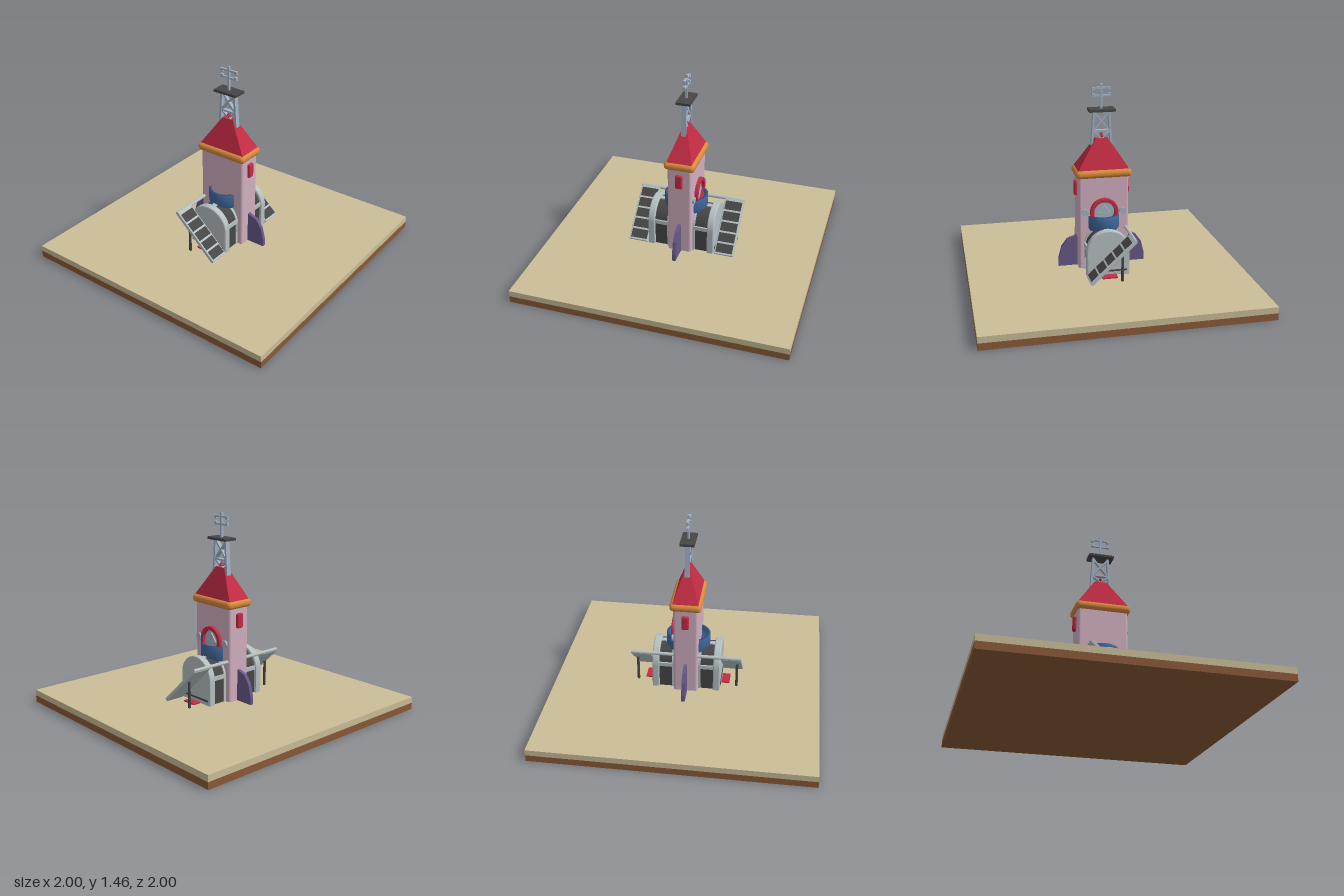
import * as THREE from 'three';
import { RoundedBoxGeometry } from 'three/addons/geometries/RoundedBoxGeometry.js';

const mat = (name, color) => {
  const m = new THREE.MeshStandardMaterial({ color });
  m.name = name;
  return m;
};

export function createModel() {
  const root = new THREE.Group();
  root.name = 'towerStation';
  const sand = mat('sand', 0xcabd98), earth = mat('earth', 0x8a5a38), pink = mat('pink', 0xd0afbf),
    red = mat('red', 0xc42c44), orange = mat('orange', 0xd68a3c), blue = mat('blue', 0x40679c),
    purple = mat('purple', 0x675889), pale = mat('paleGrey', 0xb6c0c2), dark = mat('darkGrey', 0x464646),
    steel = mat('steel', 0xa3b3c6);
  blue.side = THREE.DoubleSide;

  const add = (name, geo, m, x = 0, y = 0, z = 0, parent = root) => {
    const mesh = new THREE.Mesh(geo, m);
    mesh.name = name;
    mesh.position.set(x, y, z);
    parent.add(mesh);
    return mesh;
  };
  const box = (name, m, w, h, d, x, y, z, parent) => add(name, new THREE.BoxGeometry(w, h, d), m, x, y, z, parent);
  // Side profile (z, y) extruded along x and centred on x = 0
  const slab = (shape, width, bevel = 0) => {
    const g = new THREE.ExtrudeGeometry(shape, {
      depth: width - 2 * bevel, bevelEnabled: bevel > 0, bevelSize: bevel, bevelThickness: bevel,
      bevelOffset: -bevel, bevelSegments: 2, curveSegments: 20,
    });
    g.translate(0, 0, -(width - 2 * bevel) / 2);
    return g.rotateY(Math.PI / 2);
  };
  // Straight bar between two points of the plane x = 0
  const bar = (name, z1, y1, z2, y2, thick, depth, m) => {
    const b = box(name, m, depth, Math.hypot(z2 - z1, y2 - y1), thick, 0, (y1 + y2) / 2, (z1 + z2) / 2);
    b.rotation.x = Math.atan2(z2 - z1, y2 - y1);
  };

  // Ground slab
  box('earthLayer', earth, 2, 0.05, 2, 0, 0.025, 0);
  box('sandLayer', sand, 2, 0.045, 2, 0, 0.0725, 0);

  // Tower, cornice and tapered roof
  add('tower', new RoundedBoxGeometry(0.18, 0.75, 0.37, 3, 0.018), pink, 0, 0.455, 0);
  add('cornice', new RoundedBoxGeometry(0.23, 0.06, 0.41, 4, 0.028), orange, 0, 0.816, 0);
  const roof = new THREE.BoxGeometry(0.19, 0.22, 0.38);
  const p = roof.attributes.position;
  for (let i = 0; i < p.count; i++) {
    if (p.getY(i) > 0) p.setXYZ(i, p.getX(i) * 0.18, p.getY(i), p.getZ(i) * 0.24);
  }
  roof.computeVertexNormals();
  add('roof', roof, red, 0, 0.95, 0);
  add('roofFinial', new THREE.OctahedronGeometry(0.025), red, 0, 1.078, 0);

  // Lattice mast and platform
  for (const s of [-1, 1]) {
    bar('mastLeg', s * 0.072, 1.0, s * 0.054, 1.265, 0.016, 0.036, steel);
    bar('mastBrace', -s * 0.058, 1.12, s * 0.052, 1.25, 0.013, 0.026, steel);
    bar('mastBrace', -s * 0.066, 1.02, s * 0.06, 1.11, 0.012, 0.024, steel);
  }
  box('mastCrossbar', steel, 0.03, 0.013, 0.125, 0, 1.115, 0);
  box('platform', dark, 0.105, 0.018, 0.19, 0, 1.268, 0);

  // Antenna
  box('antennaMast', steel, 0.016, 0.18, 0.016, 0, 1.366, 0);
  [[1.425, -1], [1.37, 1]].forEach(([y, dir]) => {
    box('antennaArm', steel, 0.014, 0.013, 0.13, 0, y, 0);
    for (const s of [-1, 1]) box('antennaTip', steel, 0.018, 0.024, 0.018, 0, y + dir * 0.006, s * 0.06);
  });

  // Front and back windows, and curved fins
  const fin = new THREE.Shape([[0.17, 0.09], [0.326, 0.09], [0.326, 0.15], [0.302, 0.245],
    [0.258, 0.305], [0.187, 0.33], [0.17, 0.33]].map(([x, y]) => new THREE.Vector2(x, y)));
  for (const s of [-1, 1]) {
    add('windowFrame', new RoundedBoxGeometry(0.052, 0.108, 0.03, 3, 0.01), red, 0, 0.697, s * 0.19);
    add('fin', slab(fin, 0.026), purple).rotation.y = s > 0 ? Math.PI : 0;
  }

  // Oval balcony around the tower
  const bowl = [[0.08, 0.335], [0.1, 0.34], [0.135, 0.365], [0.163, 0.41], [0.163, 0.5], [0.14, 0.5], [0.14, 0.43], [0.05, 0.43]];
  const balconyGeo = new THREE.LatheGeometry(bowl.map(([x, y]) => new THREE.Vector2(x, y)), 40);
  add('balcony', balconyGeo, blue).scale.z = 0.85;

  // Round doorway above the balcony, with gable emblem frame and lamps
  const ringShape = new THREE.Shape().absarc(0, 0.53, 0.104, 0, Math.PI * 2);
  ringShape.holes.push(new THREE.Path().absarc(0, 0.53, 0.076, 0, Math.PI * 2, true));
  add('doorRing', slab(ringShape, 0.036, 0.005), red, 0.099);
  const disc = (name, r, x, z) =>
    add(name, new THREE.CylinderGeometry(r, r, 0.02, 32), steel, x, 0.53, z).rotation.z = Math.PI / 2;
  disc('doorPanel', 0.078, 0.084, 0);
  const tri = (r) => [0, 1, 2].map((i) => new THREE.Vector2(
    Math.sin(i * Math.PI * 2 / 3) * r * 1.15, 0.545 + Math.cos(i * Math.PI * 2 / 3) * r * 0.85));
  const gable = new THREE.Shape(tri(0.05));
  gable.holes.push(new THREE.Path(tri(0.036)));
  add('doorGable', slab(gable, 0.012), pale, 0.098);
  for (const s of [-1, 1]) disc('lamp', 0.025, 0.096, s * 0.14);

  // Arched wings with sloping panels, one each side
  const arch = (w, top) => {
    const sh = new THREE.Shape().moveTo(w, 0.09);
    sh.lineTo(w, 0.28).absellipse(0, 0.28, w, top - 0.28, 0, Math.PI);
    sh.lineTo(-w, 0.09);
    return sh;
  };
  const tilt = 0.75;
  for (const s of [-1, 1]) {
    const wing = new THREE.Group();
    wing.name = s > 0 ? 'leftWing' : 'rightWing';
    root.add(wing);
    add('hall', slab(arch(0.14, 0.412), 0.15), dark, s * 0.145, 0, 0, wing);
    add('hallEnd', slab(arch(0.158, 0.436), 0.052, 0.008), pale, s * 0.228, 0, 0, wing);
    add('hallInnerRib', slab(arch(0.148, 0.422), 0.025), pale, s * 0.095, 0, 0, wing);
    box('hallRidge', pale, 0.13, 0.02, 0.035, s * 0.15, 0.41, 0, wing);
    box('hallSill', dark, 0.01, 0.012, 0.27, s * 0.254, 0.13, 0, wing);
    for (const f of [-1, 1]) box('hallRail', pale, 0.13, 0.03, 0.02, s * 0.15, 0.29, f * 0.14, wing);
    box('doorMat', red, 0.06, 0.012, 0.11, s * 0.29, 0.099, 0, wing);

    // Framed panel with five dark cells
    const panel = new THREE.Group();
    panel.name = 'slopingPanel';
    panel.position.set(s * 0.334, 0.247, -0.004);
    panel.rotation.x = tilt;
    wing.add(panel);
    add('panelFrame', new RoundedBoxGeometry(0.148, 0.028, 0.44, 2, 0.006), pale, 0, 0, 0, panel);
    for (let i = 0; i < 5; i++) {
      box('panelCell', dark, 0.126, 0.006, 0.068, 0, 0.0135, (i - 2) * 0.083 + 0.004, panel);
    }
    const rail = add('topRail', new THREE.CylinderGeometry(0.013, 0.013, 0.33, 12), pale, s * 0.243, 0.398, -0.163, wing);
    rail.rotation.z = Math.PI / 2;
    add('panelLeg', new THREE.CylinderGeometry(0.01, 0.01, 0.2, 10), dark, s * 0.375, 0.19, -0.075, wing);
  }
  return root;
}
